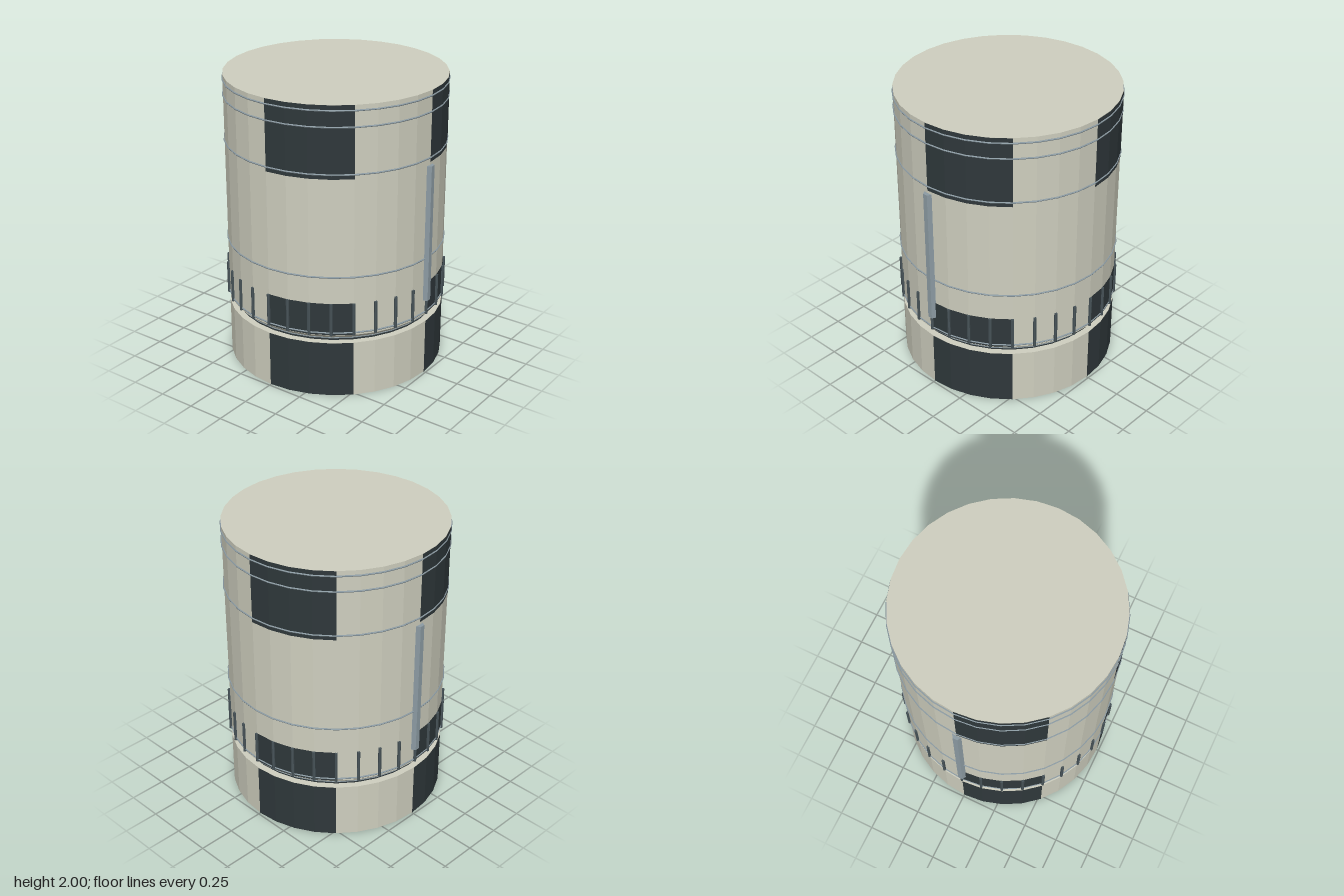
import * as THREE from 'three';

export function createModel() {
  const model = new THREE.Group();
  const mat = (name, color) => {
    const m = new THREE.MeshStandardMaterial({ color, flatShading: true });
    m.name = name;
    return m;
  };
  const cream = mat('cream paint', 0xcfcfbf);
  const dark = mat('charcoal paint', 0x2f383b);
  const steel = mat('blue grey metal', 0x8c9ba3);
  const slate = mat('slate metal', 0x475358);

  const SIDES = 32;
  const R = 0.735;
  const add = (name, geometry, material, parent = model) => {
    const mesh = new THREE.Mesh(geometry, material);
    mesh.name = name;
    parent.add(mesh);
    return mesh;
  };
  // Faceted drum between two heights
  const drum = (name, rTop, rBottom, y0, y1, material) => {
    const g = new THREE.CylinderGeometry(rTop, rBottom, y1 - y0, SIDES);
    add(name, g.translate(0, (y0 + y1) / 2, 0), material);
  };
  // Four dark panels, each an eighth of the way round
  const checkerBand = (name, y0, y1) => {
    const band = new THREE.Group();
    band.name = name;
    for (let i = 0; i < 4; i++) {
      const g = new THREE.CylinderGeometry(R + 0.002, R + 0.002, y1 - y0, SIDES / 8, 1, true,
        i * Math.PI / 2, Math.PI / 4);
      add('darkPanel', g.translate(0, (y0 + y1) / 2, 0), dark, band);
    }
    model.add(band);
  };
  // Thin ring round the drum
  const hoop = (name, y, r, tube, material) => {
    const g = new THREE.TorusGeometry(r, tube, 6, SIDES);
    add(name, g.rotateX(Math.PI / 2).translate(0, y, 0), material);
  };

  // Base, tapered neck and main body
  drum('base', R, R, 0.002, 0.39, cream);
  drum('neckBand', 0.69, 0.69, 0.39, 0.41, dark);
  drum('neckTaper', R, 0.695, 0.41, 0.447, cream);
  drum('body', R, R, 0.447, 2, cream);

  // Dark opening underneath
  add('bottomOpening', new THREE.CylinderGeometry(0.36, 0.36, 0.004, SIDES).translate(0, 0.002, 0), dark);

  checkerBand('basePanels', 0.003, 0.39);
  checkerBand('lowerPanels', 0.45, 0.675);
  checkerBand('upperPanels', 1.525, 2);

  for (const y of [0.465, 0.86, 1.555, 1.86, 1.965]) hoop('hoop', y, R + 0.001, 0.006, steel);
  hoop('neckHoop', 0.412, 0.697, 0.006, steel);

  // Short ribs on every corner of the lower band
  const ribs = new THREE.Group();
  ribs.name = 'ribs';
  const ribGeometry = new THREE.CylinderGeometry(0.011, 0.011, 0.225, 6);
  for (let i = 0; i < SIDES; i++) {
    const a = i / SIDES * Math.PI * 2;
    const rib = add('rib', ribGeometry, slate, ribs);
    rib.position.set(Math.sin(a) * (R + 0.005), 0.5625, Math.cos(a) * (R + 0.005));
    rib.rotation.y = a;
  }
  model.add(ribs);

  // Six-sided cable ducts on both sides
  for (const side of [-1, 1]) {
    const duct = add(side > 0 ? 'leftDuct' : 'rightDuct',
      new THREE.CylinderGeometry(0.033, 0.033, 0.95, 6), steel);
    duct.position.set(side * 0.73, 1.03, 0);
  }
  return model;
}
